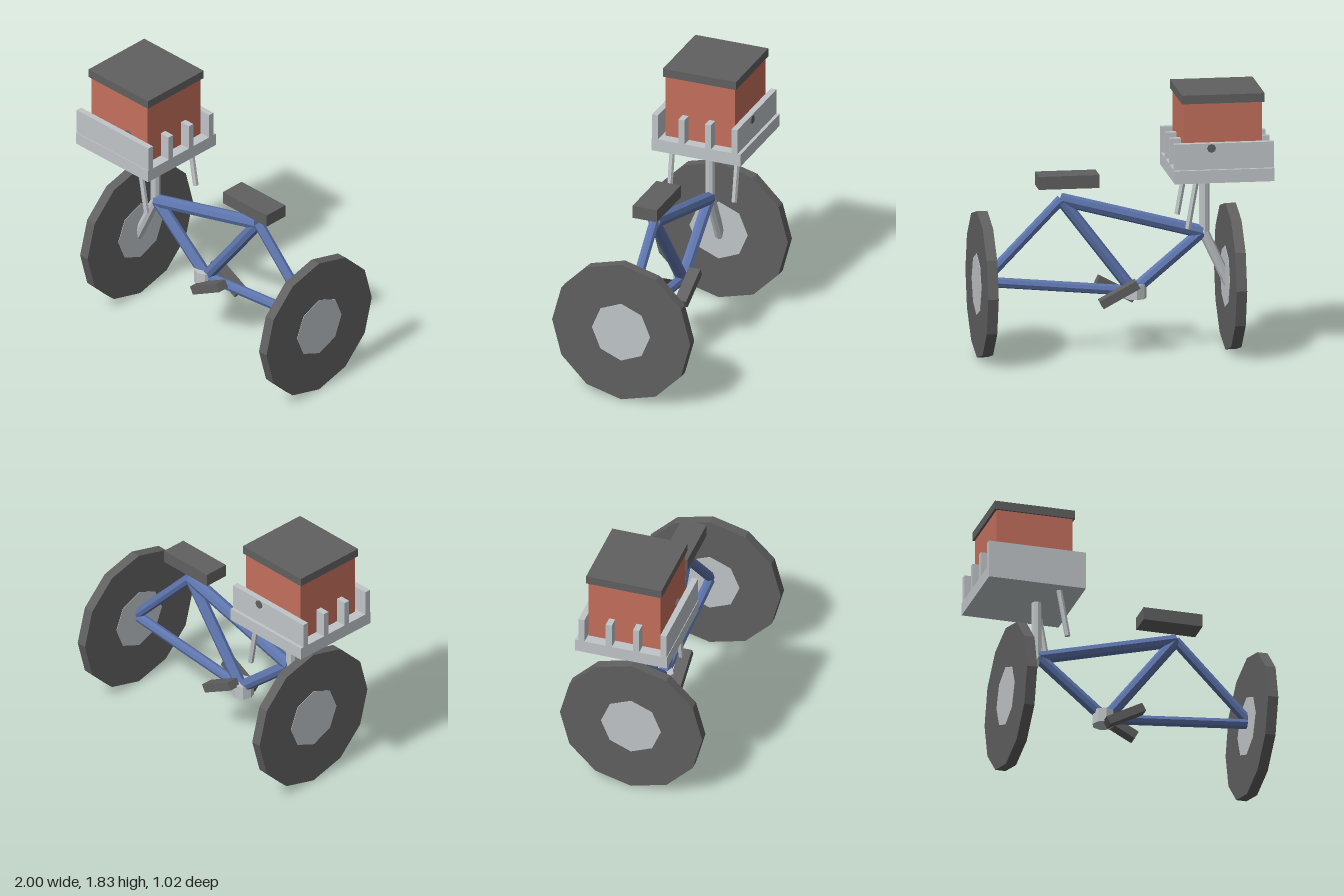
import * as THREE from 'three';

const mat = (name, color) => {
  const m = new THREE.MeshStandardMaterial({ color, flatShading: true });
  m.name = name;
  return m;
};

export function createModel() {
  const dark = mat('dark rubber', 0x606060);
  const grey = mat('light metal', 0xc0c5c8);
  const blue = mat('frame blue', 0x5e76ae);
  const red = mat('box red', 0xc46f5c);

  const model = new THREE.Group();
  model.name = 'cargoBike';

  const add = (name, geometry, material, x = 0, y = 0, z = 0) => {
    const mesh = new THREE.Mesh(geometry, material);
    mesh.name = name;
    mesh.position.set(x, y, z);
    model.add(mesh);
    return mesh;
  };
  const box = (name, material, w, h, d, x, y, z) =>
    add(name, new THREE.BoxGeometry(w, h, d), material, x, y, z);
  // straight round bar between two points
  const bar = (name, material, r, a, b, sides = 8) => {
    const p = new THREE.Vector3(...a), q = new THREE.Vector3(...b);
    const dir = q.clone().sub(p);
    const mesh = add(name, new THREE.CylinderGeometry(r, r, dir.length(), sides), material);
    mesh.position.copy(p).add(q).multiplyScalar(0.5);
    mesh.quaternion.setFromUnitVectors(new THREE.Vector3(0, 1, 0), dir.normalize());
    return mesh;
  };
  // disc whose axle runs along x
  const disc = (name, material, r, width, sides, x, y) =>
    add(name, new THREE.CylinderGeometry(r, r, width, sides).rotateZ(Math.PI / 2), material, x, y, 0);

  // wheels with hub plates showing on both faces
  for (const [name, x] of [['front', -0.748], ['rear', 0.957]]) {
    disc(name + 'Wheel', dark, 0.508, 0.072, 12, x, 0.51);
    disc(name + 'Hub', grey, 0.214, 0.078, 8, x, 0.51);
  }

  // frame tubes
  const head = [-0.55, 0.825, 0], seatTop = [0.415, 1.08, 0];
  const crank = [-0.08, 0.43, 0], axle = [0.95, 0.527, 0];
  bar('topTube', blue, 0.046, head, seatTop);
  bar('downTube', blue, 0.042, head, crank);
  bar('seatTube', blue, 0.042, crank, seatTop);
  bar('seatStay', blue, 0.036, seatTop, axle);
  bar('chainStay', blue, 0.036, crank, axle);

  // steering column and fork
  bar('steeringColumn', grey, 0.035, [-0.567, 0.83, 0], [-0.567, 1.24, 0]);
  bar('fork', grey, 0.036, [-0.56, 0.83, 0], [-0.735, 0.46, 0]);

  // bottom bracket and pedals
  add('bottomBracket', new THREE.CylinderGeometry(0.076, 0.076, 0.1, 8), grey, -0.095, 0.43, 0);
  for (const s of [1, -1]) {
    box('pedal', dark, 0.285, 0.06, 0.085, 0.03, 0.43, s * 0.088).rotation.z = s * 0.49;
  }

  // seat
  box('seat', dark, 0.417, 0.09, 0.18, 0.373, 1.215, 0);

  // cargo tray with raised slats
  box('trayBase', grey, 0.685, 0.09, 0.655, -0.657, 1.275, 0);
  for (let i = 0; i < 4; i++) {
    box('traySlat', grey, 0.685, 0.18, 0.043, -0.657, 1.41, 0.302 - i * 0.195);
  }
  bar('trayBolt', dark, 0.03, [-0.57, 1.467, 0.282], [-0.57, 1.467, -0.312]);

  // tray support struts
  for (const s of [1, -1]) {
    bar('trayStrut', grey, 0.02, [-0.418, 0.9, s * 0.238], [-0.478, 1.24, s * 0.238], 6);
  }

  // delivery box and lid
  box('deliveryBox', red, 0.535, 0.45, 0.512, -0.657, 1.545, 0);
  box('boxLid', dark, 0.567, 0.06, 0.538, -0.657, 1.8, 0);

  return model;
}
